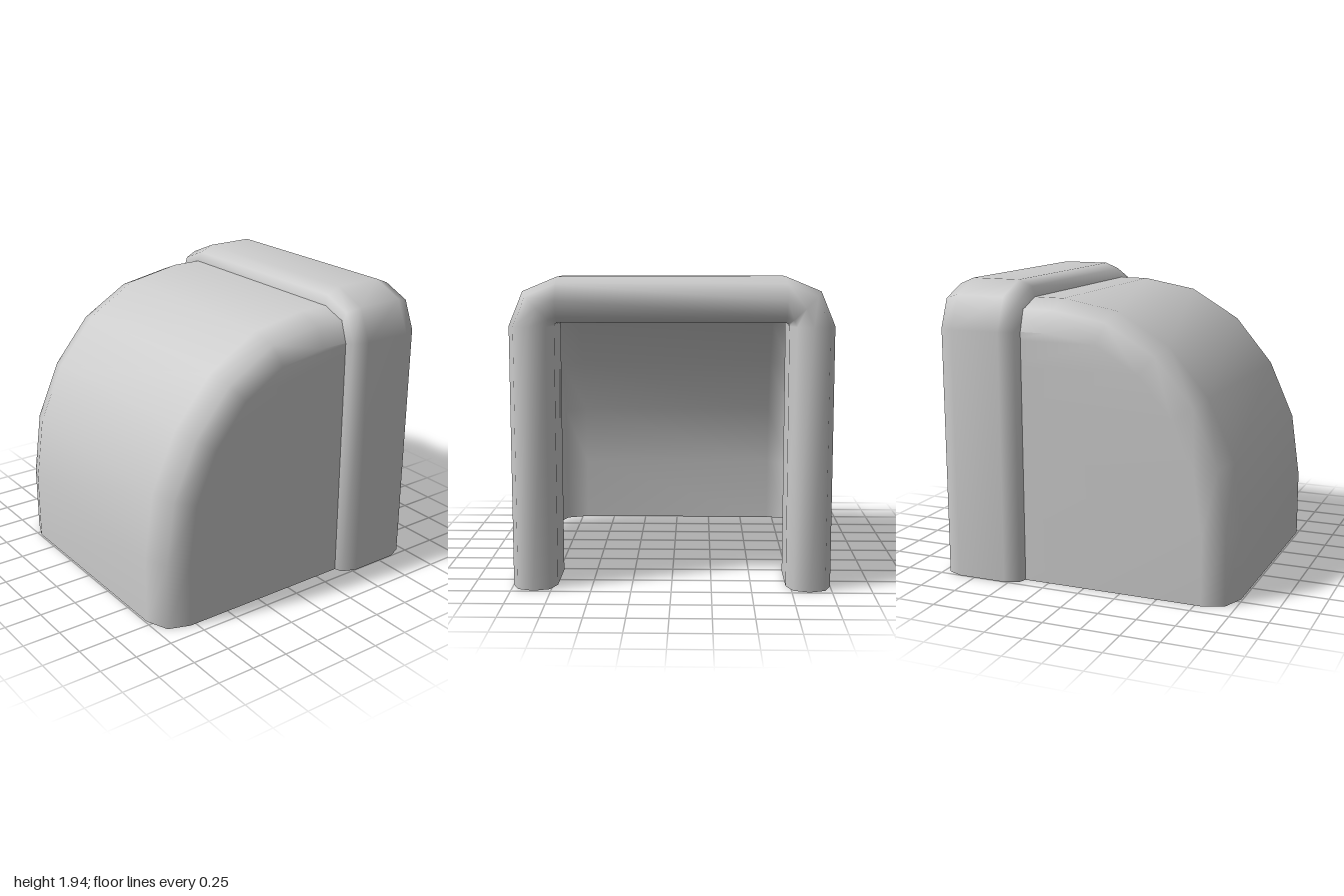
import * as THREE from 'three';

const material = new THREE.MeshStandardMaterial({ color: 0xcccccc, side: THREE.DoubleSide });

// Smooth skin over rows of points; closed joins the last column to the first.
function skin(name, rows, closed) {
  const n = rows[0].length, index = [];
  for (let i = 0; i < rows.length - 1; i++) {
    for (let j = 0; j < (closed ? n : n - 1); j++) {
      const k = (j + 1) % n;
      const a = i * n + j, b = i * n + k, c = a + n, d = b + n;
      index.push(a, b, d, a, d, c);
    }
  }
  const geometry = new THREE.BufferGeometry();
  geometry.setAttribute('position', new THREE.Float32BufferAttribute(rows.flat(2), 3));
  geometry.setIndex(index);
  geometry.computeVertexNormals();
  const mesh = new THREE.Mesh(geometry, material);
  mesh.name = name;
  return mesh;
}

// Curved hood: a side profile [z, y] with rounded edges and flat sides, open below and behind.
function hood() {
  const back = -0.5;
  const profile = [[0.99, 0], [0.99, 0.45], [0.93, 0.88], [0.76, 1.26], [0.5, 1.57],
    [0.16, 1.77], [-0.21, 1.835], [back, 1.835]];
  const edge = [[0.71, 0], [0.86, 0.06], [0.91, 0.2]]; // [x, inset]
  const last = profile.length - 1;
  const rows = profile.map(([z, y], i) => {
    const p = profile[Math.max(i - 1, 0)], q = profile[Math.min(i + 1, last)];
    let nz = q[1] - p[1], ny = p[0] - q[0];
    const l = Math.hypot(nz, ny);
    nz /= l; ny /= l;
    const half = edge.map(([x, d]) => [x, y - ny * d, z - nz * d]);
    half.push([0.91, half[2][1], back]); // flat side panel
    const mirrored = half.map(([x, b, c]) => [-x, b, c]).reverse();
    return [...mirrored, ...half];
  });
  return skin('hood', rows, false);
}

// Rounded arch: a flattened eight-sided section swept up one leg, across and down the other.
function arch() {
  const section = [[0.3, 0.165], [0.3, -0.165], [0.26, -0.26], [0.16, -0.295], [0.06, -0.26],
    [0.02, -0.165], [0.02, 0.165], [0.06, 0.26], [0.16, 0.295], [0.26, 0.26]]; // [radius, z]
  const px = 0.7, py = 1.64, q = Math.PI / 4;
  const path = [[px, 0, 0], [px, py, 0], [px, py, q], [px, py, 2 * q],
    [-px, py, 2 * q], [-px, py, 3 * q], [-px, py, 4 * q], [-px, 0, 4 * q]]; // [x, y, angle]
  const rows = path.map(([x, y, a]) => section.map(([r, z]) =>
    [x + r * Math.cos(a), y + r * Math.sin(a), z - 0.695]));
  return skin('arch', rows, true);
}

export function createModel() {
  const group = new THREE.Group();
  group.name = 'hoodedShelter';
  group.add(hood(), arch());
  return group;
}
